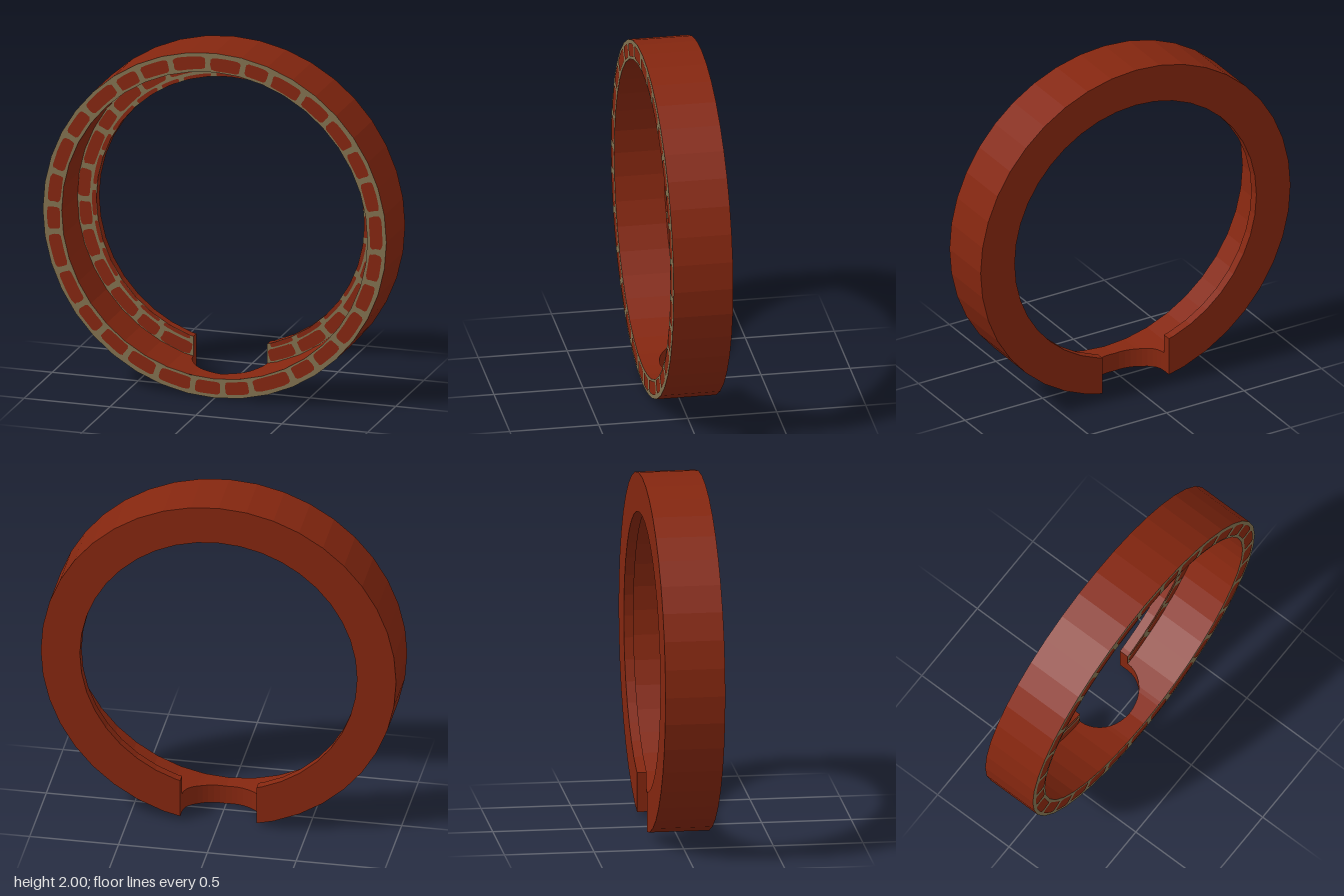
import * as THREE from 'three';

const SEG = 40, STEP = (Math.PI * 2) / SEG;
const R_OUT = 1, R_STEP = 0.89, R_IN = 0.78;
const Z_FRONT = 0.167, Z_LIP = -0.113, Z_BACK = -0.167;
const NOTCH = 0.215, NOTCH_DEPTH = 0.18;

const brick = new THREE.MeshStandardMaterial({ color: 0x84260f });
brick.name = 'brickRed';
brick.flatShading = true;
const mortar = new THREE.MeshStandardMaterial({ color: 0x80704f });
mortar.name = 'mortar';

let seed = 7;
const rand = () => (seed = (seed * 16807) % 2147483647) / 2147483647;

// Angles run counter-clockwise from the bottom of the ring
const polar = (r, a) => [r * Math.sin(a), -r * Math.cos(a)];

// Lower edge of the faceted circle at a given x
function chordY(r, x) {
  const ax = Math.abs(x);
  let k = 0;
  while (r * Math.sin((k + 1) * STEP) < ax) k++;
  const [x0, y0] = polar(r, k * STEP), [x1, y1] = polar(r, (k + 1) * STEP);
  return y0 + ((y1 - y0) * (ax - x0)) / (x1 - x0);
}

// Ring outline with a straight-sided gap at the bottom
function gapRing(rIn, rOut) {
  const arc = r => {
    const pts = [[NOTCH, chordY(r, NOTCH)]];
    for (let k = 2; k <= SEG - 2; k++) pts.push(polar(r, k * STEP));
    pts.push([-NOTCH, chordY(r, NOTCH)]);
    return pts;
  };
  return new THREE.Shape([...arc(rOut), ...arc(rIn).reverse()].map(p => new THREE.Vector2(...p)));
}

// Deep rim: outer, inner and back walls, hollowed by the rounded notch
function rimGeometry() {
  const stations = [];
  for (let j = 0; j <= 20; j++) {
    const t = -Math.PI / 2 + (Math.PI * j) / 20, x = NOTCH * Math.sin(t);
    stations.push({
      o: [x, chordY(R_OUT, x)], i: [x, chordY(R_STEP, x)],
      zb: Z_LIP + NOTCH_DEPTH * Math.cos(t),
    });
  }
  for (let k = 2; k <= SEG - 2; k++)
    stations.push({ o: polar(R_OUT, k * STEP), i: polar(R_STEP, k * STEP), zb: Z_LIP });

  const pos = [];
  const quad = (a, b, c, d) => pos.push(...a, ...b, ...c, ...a, ...c, ...d);
  stations.forEach((s, n) => {
    const e = stations[(n + 1) % stations.length];
    const ob = [...s.o, s.zb], ob2 = [...e.o, e.zb], of = [...s.o, Z_FRONT], of2 = [...e.o, Z_FRONT];
    const ib = [...s.i, s.zb], ib2 = [...e.i, e.zb], inf = [...s.i, Z_FRONT], inf2 = [...e.i, Z_FRONT];
    quad(ob, ob2, of2, of);
    quad(ib, inf, inf2, ib2);
    quad(ob, ib, ib2, ob2);
  });
  const g = new THREE.BufferGeometry();
  g.setAttribute('position', new THREE.Float32BufferAttribute(pos, 3));
  g.computeVertexNormals();
  return g;
}

// One curved brick face with worn, rounded corners
function brickShape(r0, r1, a0, a1, gap) {
  const mid = (a0 + a1) / 2, half = (a1 - a0) / 2, rm = (r0 + r1) / 2, rh = (r1 - r0) / 2;
  const pts = [];
  for (let j = 0; j < 28; j++) {
    const t = (j / 28) * Math.PI * 2, c = Math.cos(t), s = Math.sin(t);
    const u = Math.sign(c) * Math.abs(c) ** 0.35, v = Math.sign(s) * Math.abs(s) ** 0.35;
    const wear = 0.94 + rand() * 0.06;
    // u runs along the arc, v across it; negated so the outline is counter-clockwise
    const p = polar(rm - rh * v * wear, mid + half * u * wear);
    if (gap && p[1] < 0 && Math.abs(p[0]) < NOTCH) p[0] = Math.sign(mid > Math.PI ? -1 : 1) * NOTCH;
    pts.push(new THREE.Vector2(...p));
  }
  return new THREE.Shape(pts);
}

// A course of bricks between two angles
function course(name, r0, r1, from, to, count, z, gap, space) {
  const pitch = (to - from) / count, shapes = [];
  const cuts = Array.from({ length: count + 1 }, (_, k) =>
    from + pitch * (k + (k % count ? (rand() - 0.5) * 0.3 : 0)));
  for (let k = 0; k < count; k++) {
    const dr = (rand() - 0.5) * 0.008;
    shapes.push(brickShape(r0 + (r0 > R_IN + 0.01 ? dr : 0), r1 + dr,
      cuts[k] + space / 2, cuts[k + 1] - space / 2, gap));
  }
  const m = new THREE.Mesh(new THREE.ShapeGeometry(shapes), brick);
  m.name = name;
  m.position.z = z;
  return m;
}

export function createModel() {
  const group = new THREE.Group();
  group.name = 'brickRing';
  const ring = new THREE.Group();
  ring.name = 'ring';
  ring.position.y = 1;
  group.add(ring);
  const add = (name, geo, mat, z = 0) => {
    const m = new THREE.Mesh(geo, mat);
    m.name = name;
    m.position.z = z;
    ring.add(m);
  };

  add('rim', rimGeometry(), brick);

  // Thin back plate whose inner edge forms the lip
  add('backLip', new THREE.ExtrudeGeometry(gapRing(R_IN, R_OUT),
    { depth: Z_LIP - Z_BACK, bevelEnabled: false }), brick, Z_BACK);

  // Mortar beds on the front faces
  add('rimMortar', new THREE.RingGeometry(R_STEP, R_OUT, SEG, 1), mortar, Z_FRONT);
  add('lipMortar', new THREE.ShapeGeometry(gapRing(R_IN, R_STEP)), mortar, Z_LIP + 0.001);

  // Brick courses
  const full = Math.PI * 2;
  ring.add(course('rimBricks', 0.9, 0.977, 0.05, full + 0.05, 30, Z_FRONT + 0.002, false, 0.028));
  ring.add(course('lipBricks', 0.812, 0.884, 0.25, full - 0.25, 26, Z_LIP + 0.003, true, 0.03));
  ring.add(course('lipEdgeBricks', 0.779, 0.802, 0.28, full - 0.28, 25, Z_LIP + 0.003, true, 0.035));
  return group;
}
